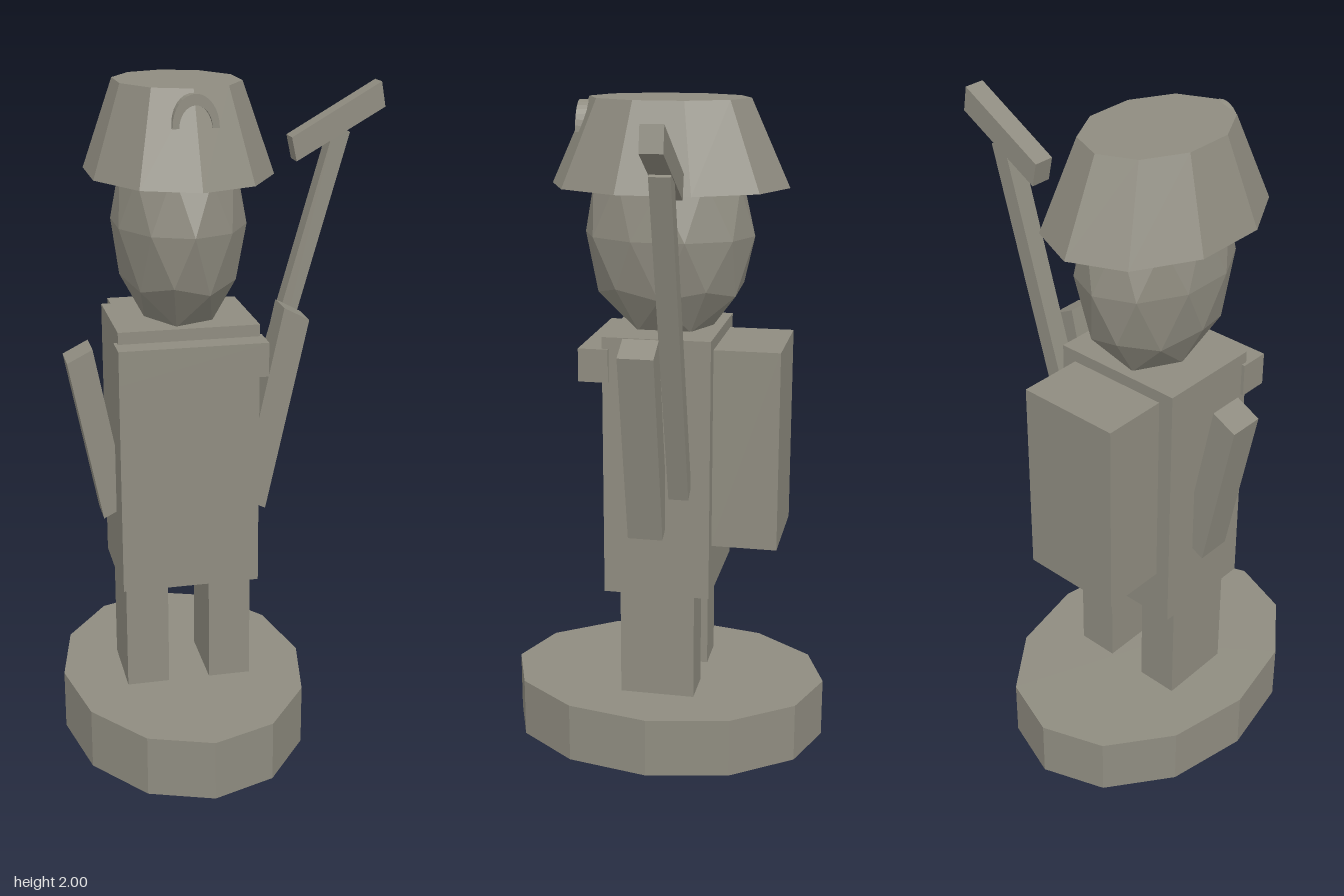
import * as THREE from 'three';

export function createModel() {
  const model = new THREE.Group();
  const stone = new THREE.MeshStandardMaterial({ color: 0x8f8c80, flatShading: true });
  stone.name = 'grey stone';
  const CX = -0.127; // figure axis
  const SQUASH = 0.75; // narrowing across x

  const add = (name, geometry, x = 0, y = 0, z = 0) => {
    const mesh = new THREE.Mesh(geometry, stone);
    mesh.name = name;
    mesh.position.set(x, y, z);
    model.add(mesh);
    return mesh;
  };
  // Box centred on x, between two heights and two depths
  const block = (name, x, width, y0, y1, z0, z1) =>
    add(name, new THREE.BoxGeometry(width, y1 - y0, z1 - z0), x, (y0 + y1) / 2, (z0 + z1) / 2);
  // Outline in the xy plane, extruded between two depths
  const prism = (name, outline, z0, z1) => {
    const shape = new THREE.Shape(outline.map(([x, y]) => new THREE.Vector2(x, y)));
    return add(name, new THREE.ExtrudeGeometry(shape, { depth: z1 - z0, bevelEnabled: false }), 0, 0, z0);
  };
  // Oval drum or cone section
  const drum = (name, rTop, rBottom, y0, y1, sides) =>
    add(name, new THREE.CylinderGeometry(rTop, rBottom, y1 - y0, sides).scale(SQUASH, 1, 1), CX, (y0 + y1) / 2);

  // Base and legs
  drum('base', 0.5, 0.5, 0, 0.185, 12);
  block('rightLeg', CX - 0.127, 0.128, 0.185, 0.525, -0.115, 0.115);
  block('leftLeg', CX + 0.127, 0.128, 0.185, 0.525, -0.115, 0.115);

  // Torso, chest strap and backpack
  block('torso', CX, 0.41, 0.525, 1.325, -0.162, 0.162);
  block('chestStrap', CX, 0.43, 1.19, 1.29, 0.142, 0.232);
  block('backpack', CX, 0.317, 0.68, 1.29, -0.36, -0.16);

  // Arms
  prism('rightArm', [[-0.37, 0.72], [-0.295, 0.758], [-0.39, 1.248], [-0.465, 1.21]], -0.054, 0.054);
  prism('leftArm', [[0.12, 0.72], [0.248, 1.305], [0.172, 1.345], [0.044, 0.76]], -0.028, 0.078);

  // Pickaxe: slanted handle and crosspiece
  prism('toolHandle', [[0.115, 0.85], [0.395, 1.83], [0.35, 1.855], [0.07, 0.88]], -0.105, -0.045);
  prism('toolHead', [[0.235, 1.75], [0.5, 1.9], [0.487, 1.973], [0.22, 1.82]], -0.107, -0.043);

  // Faceted head, with a vertex of the ball at the crown
  const ball = new THREE.IcosahedronGeometry(1, 1);
  ball.rotateX(-Math.atan((1 + Math.sqrt(5)) / 2)).rotateY(Math.PI / 2).scale(0.193, 0.33, 0.257);
  add('head', ball, CX, 1.602, 0);

  // Helmet with an arched badge on its front
  drum('helmet', 0.24, 0.357, 1.745, 2, 10);
  const arch = new THREE.Shape();
  arch.absellipse(0, 0, 0.064, 0.09, 0, Math.PI, false);
  arch.lineTo(-0.045, 0);
  arch.absellipse(0, 0, 0.045, 0.06, Math.PI, 0, true);
  add('helmetBadge', new THREE.ExtrudeGeometry(arch, { depth: 0.032, bevelEnabled: false, curveSegments: 8 }), CX, 1.9, 0.237);

  return model;
}
